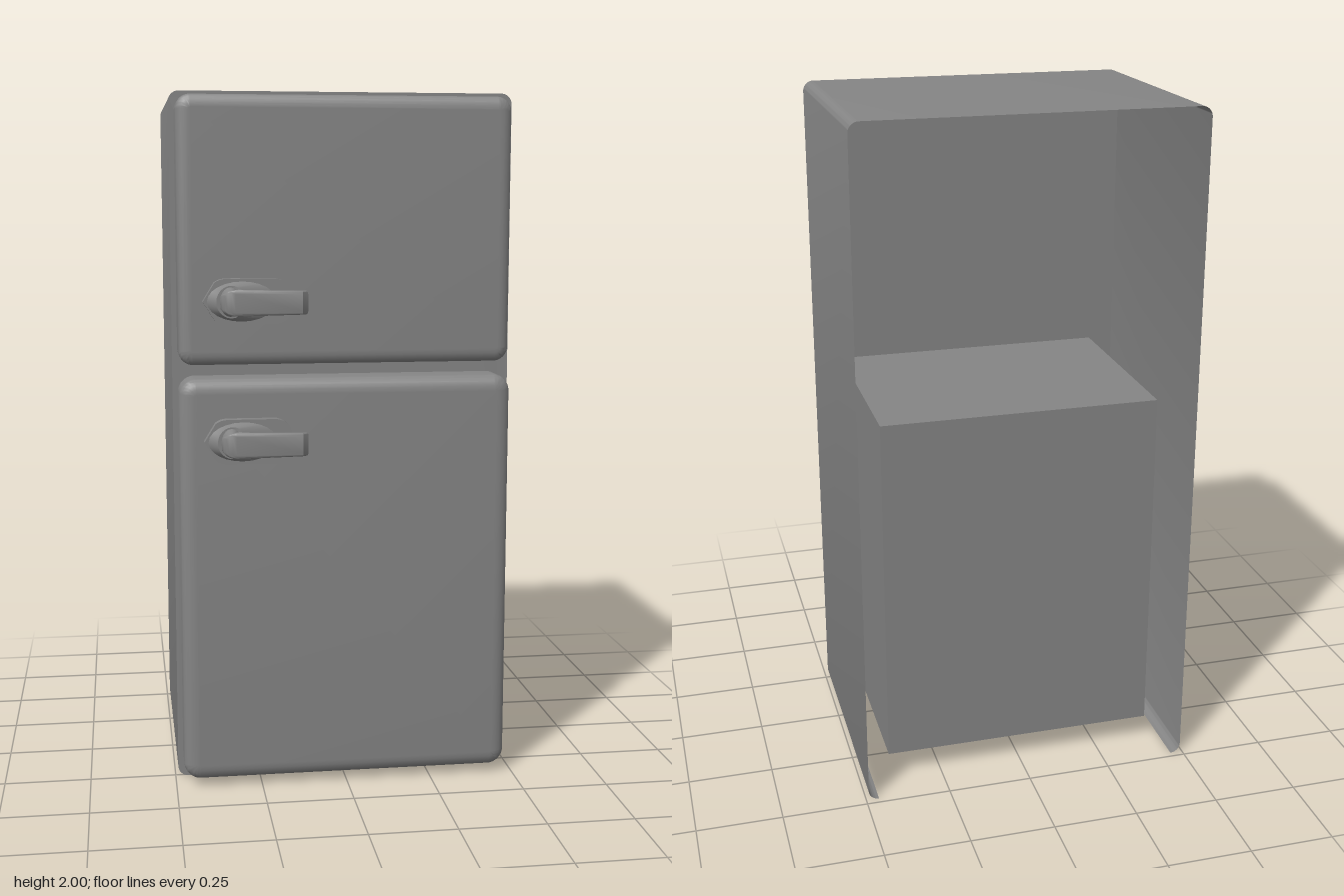
import * as THREE from 'three';
import { toCreasedNormals } from 'three/addons/utils/BufferGeometryUtils.js';

const grey = new THREE.MeshStandardMaterial({ color: 0x858585, side: THREE.DoubleSide });

function add(parent, name, geometry, x = 0, y = 0, z = 0) {
  const mesh = new THREE.Mesh(geometry, grey);
  mesh.name = name;
  mesh.position.set(x, y, z);
  parent.add(mesh);
}

// Apply rule(vertex) to every vertex, then rebuild creased normals
function reshape(geometry, rule) {
  const p = geometry.attributes.position;
  const v = new THREE.Vector3();
  for (let i = 0; i < p.count; i++) {
    rule(v.fromBufferAttribute(p, i));
    p.setXYZ(i, v.x, v.y, v.z);
  }
  return toCreasedNormals(geometry, 0.6);
}

function roundedRect(x0, x1, y0, y1, r) {
  const s = new THREE.Shape();
  s.absarc(x1 - r, y0 + r, r, -Math.PI / 2, 0);
  s.absarc(x1 - r, y1 - r, r, 0, Math.PI / 2);
  s.absarc(x0 + r, y1 - r, r, Math.PI / 2, Math.PI);
  s.absarc(x0 + r, y0 + r, r, Math.PI, Math.PI * 1.5);
  return s;
}

// Thin cabinet skin: sides, top and curled lower corners, open below and behind
function cabinetSkin(points, zBack, zFront) {
  const position = [], index = [];
  points.forEach((p, i) => {
    position.push(p.x, p.y, zBack, p.x, p.y, zFront);
    if (i > 0) {
      const a = 2 * i - 2;
      index.push(a, a + 2, a + 1, a + 1, a + 2, a + 3);
    }
  });
  const g = new THREE.BufferGeometry();
  g.setAttribute('position', new THREE.Float32BufferAttribute(position, 3));
  g.setIndex(index);
  return toCreasedNormals(g, 0.6);
}

// Door slab with a softened front edge (soft wide, deep thick) and a flat back
function doorGeometry([x0, x1, y0, y1], zBack, zFront, soft, deep) {
  const g = new THREE.ExtrudeGeometry(
    roundedRect(x0 + soft, x1 - soft, y0 + soft, y1 - soft, 0.006),
    { depth: zFront - zBack - deep, bevelThickness: deep, bevelSize: soft, bevelSegments: 5, curveSegments: 5 });
  g.translate(0, 0, zBack);
  return reshape(g, v => { v.z = Math.max(v.z, zBack); });
}

function makeHandle(name) {
  const handle = new THREE.Group();
  handle.name = name;

  // Mounting plate, tapered at its outer end and rounded at the other
  const plate = new THREE.Shape();
  plate.moveTo(-0.41, 0);
  plate.lineTo(-0.378, -0.052);
  plate.quadraticCurveTo(-0.365, -0.063, -0.34, -0.063);
  plate.lineTo(-0.205, -0.063);
  plate.quadraticCurveTo(-0.167, -0.055, -0.165, -0.025);
  plate.lineTo(-0.165, 0.025);
  plate.quadraticCurveTo(-0.167, 0.055, -0.205, 0.063);
  plate.lineTo(-0.34, 0.063);
  plate.quadraticCurveTo(-0.365, 0.063, -0.378, 0.052);
  const plateGeometry = new THREE.ExtrudeGeometry(plate, { depth: 0.031, bevelEnabled: false, curveSegments: 4 });
  add(handle, 'handlePlate', toCreasedNormals(plateGeometry, 0.6), 0, 0, 0.37);

  // Raised oval boss, leaning toward the neck
  const boss = new THREE.CylinderGeometry(1, 1, 0.02, 24);
  boss.rotateX(Math.PI / 2);
  add(handle, 'handleBoss', reshape(boss, v => {
    const top = v.z > 0;
    v.x = top ? -0.332 + v.x * 0.042 : -0.3 + v.x * 0.1;
    v.y *= top ? 0.045 : 0.056;
  }), 0, 0, 0.41);

  // Oval neck
  const neck = new THREE.CylinderGeometry(0.02, 0.03, 0.05, 20);
  neck.rotateX(Math.PI / 2);
  neck.scale(1, 1.4, 1);
  add(handle, 'handleNeck', neck, -0.335, 0, 0.44);

  // Flat lever drawn in plan, with softened edges and a rounded inner end
  const plan = new THREE.Shape();
  plan.moveTo(-0.36, 0.445);
  plan.quadraticCurveTo(-0.36, 0.474, -0.325, 0.474);
  plan.lineTo(-0.142, 0.473);
  plan.lineTo(-0.13, 0.464);
  plan.lineTo(-0.295, 0.464);
  plan.quadraticCurveTo(-0.31, 0.46, -0.314, 0.445);
  const lever = new THREE.ExtrudeGeometry(plan, {
    depth: 0.05, bevelThickness: 0.01, bevelSize: 0.004, bevelSegments: 3, curveSegments: 6 });
  lever.rotateX(Math.PI / 2);
  add(handle, 'handleLever', reshape(lever, v => {
    v.y += 0.025;
    const past = Math.min(1, Math.max(0, (-0.32 - v.x) / 0.05));
    v.y *= Math.max(0.55, Math.sqrt(1 - past * past)) * (0.92 - 0.6 * (v.x + 0.13));
  }));
  return handle;
}

export function createModel() {
  const model = new THREE.Group();
  model.name = 'refrigerator';
  const zBack = -0.482, zFace = 0.257, zDoor = 0.37;
  const upper = [-0.477, 0.467, 1.24, 1.985];
  const lower = [-0.477, 0.475, 0.025, 1.2];

  // Cabinet skin, and a front frame cut out behind each door
  const body = roundedRect(-0.492, 0.492, 0, 2, 0.03);
  add(model, 'cabinetShell', cabinetSkin(body.getPoints(6), zBack, zFace));
  const inset = 0.004;
  [upper, lower].forEach(([x0, x1, y0, y1]) =>
    body.holes.push(roundedRect(x0 + inset, x1 - inset, y0 + inset, y1 - inset, 0.045)));
  add(model, 'frontFrame', new THREE.ShapeGeometry(body, 6), 0, 0, zFace);

  // Inner compartment behind the lower door
  add(model, 'innerCompartment', new THREE.BoxGeometry(0.82, 1.06, 0.62), 0, 0.61, -0.07);

  // Doors and their handles
  add(model, 'upperDoor', doorGeometry(upper, zFace + 0.001, zDoor, 0.035, 0.022));
  add(model, 'lowerDoor', doorGeometry(lower, zFace + 0.001, zDoor, 0.042, 0.028));
  [['upperHandle', 1.42], ['lowerHandle', 1.027]].forEach(([name, y]) => {
    const handle = makeHandle(name);
    handle.position.y = y;
    model.add(handle);
  });
  return model;
}
